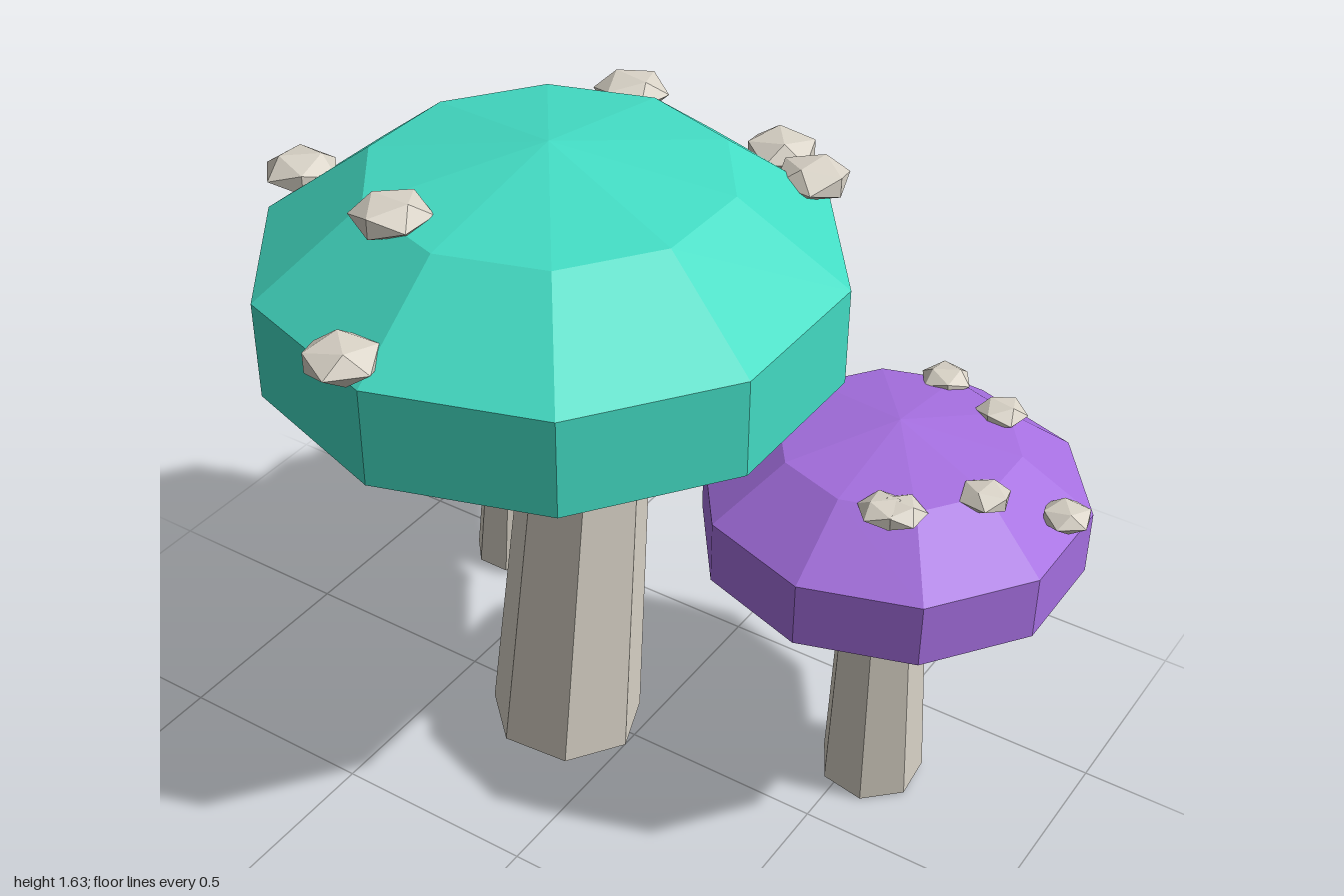
import * as THREE from 'three';

const flat = (name, color) => {
  const m = new THREE.MeshStandardMaterial({ color, flatShading: true });
  m.name = name;
  return m;
};

// cap: centre and radius; stem: base x/z, radius, twist (degrees), lean per unit height in x/z
// spots: x/z positions on the cap
const MUSHROOMS = [
  {
    name: 'largeMushroom', colorName: 'turquoise', color: 0x43dcc4,
    cap: [-0.19, 1.253, 0.04], r: 0.694,
    stem: { x: -0.185, z: 0.03, r: 0.19, twist: 33.6, lean: [0.052, -0.05] },
    spots: [[-0.335, -0.49], [0.055, -0.52], [0.18, -0.445], [-0.79, 0.155], [-0.34, 0.385], [-0.25, 0.67]],
  },
  {
    name: 'mediumMushroom', colorName: 'purple', color: 0xa56fe0,
    cap: [0.545, 0.793, -0.23], r: 0.4626,
    stem: { x: 0.543, z: -0.235, r: 0.126, twist: 17, lean: [0.024, 0.08] },
    spots: [[0.53, -0.485], [0.695, -0.43], [0.94, -0.265], [0.8, -0.14], [0.645, 0.022], [0.675, 0.01]],
  },
  {
    name: 'smallMushroom', colorName: 'lime', color: 0xa4dc58,
    cap: [-0.688, 0.559, -0.42], r: 0.3455,
    stem: { x: -0.69, z: -0.42, r: 0.095, twist: 28, lean: [0.047, -0.015], lift: 0.01 },
    spots: [[-0.815, -0.715], [-0.87, -0.63], [-0.89, -0.35], [-0.945, -0.315], [-0.6, -0.237], [-0.46, -0.386]],
  },
];
const FLATTEN = 0.54; // cap height relative to its width

export function createModel() {
  const root = new THREE.Group();
  root.name = 'mushroomCluster';
  const cream = flat('cream', 0xd8d2c6);

  MUSHROOMS.forEach(({ name, colorName, color, cap, r, stem, spots }) => {
    const group = new THREE.Group();
    group.name = name;
    root.add(group);
    const [cx, cy, cz] = cap;

    // ten-sided flattened cap with corners on the z axis
    const capMesh = new THREE.Mesh(new THREE.SphereGeometry(r, 10, 5), flat(colorName, color));
    capMesh.name = 'cap';
    capMesh.position.set(cx, cy, cz);
    capMesh.rotation.y = Math.PI / 2;
    capMesh.scale.y = FLATTEN;
    group.add(capMesh);

    // seven-sided tapering stem, leaning from its base into the cap
    const stemGeo = new THREE.CylinderGeometry(stem.r * 0.71, stem.r, cy, 7);
    stemGeo.rotateY(THREE.MathUtils.degToRad(stem.twist));
    stemGeo.translate(0, cy / 2, 0);
    const stemMesh = new THREE.Mesh(stemGeo, cream);
    stemMesh.name = 'stem';
    const dir = new THREE.Vector3(stem.lean[0], 1, stem.lean[1]).normalize();
    stemMesh.quaternion.setFromUnitVectors(new THREE.Vector3(0, 1, 0), dir);
    stemMesh.position.set(stem.x, stem.r * Math.hypot(...stem.lean) + (stem.lift || 0), stem.z);
    group.add(stemMesh);

    // flattened faceted spots sitting on the curve of the cap
    const spotGeo = new THREE.IcosahedronGeometry(r * 0.13, 0);
    spots.forEach(([x, z], i) => {
      const d = Math.min(1, Math.hypot(x - cx, z - cz) / r);
      const spot = new THREE.Mesh(spotGeo, cream);
      spot.name = 'spot';
      spot.position.set(x, cy + FLATTEN * r * Math.sqrt(1 - d * d), z);
      spot.rotation.y = i * 2.4 + cx;
      spot.scale.y = 0.5;
      group.add(spot);
    });
  });
  return root;
}
